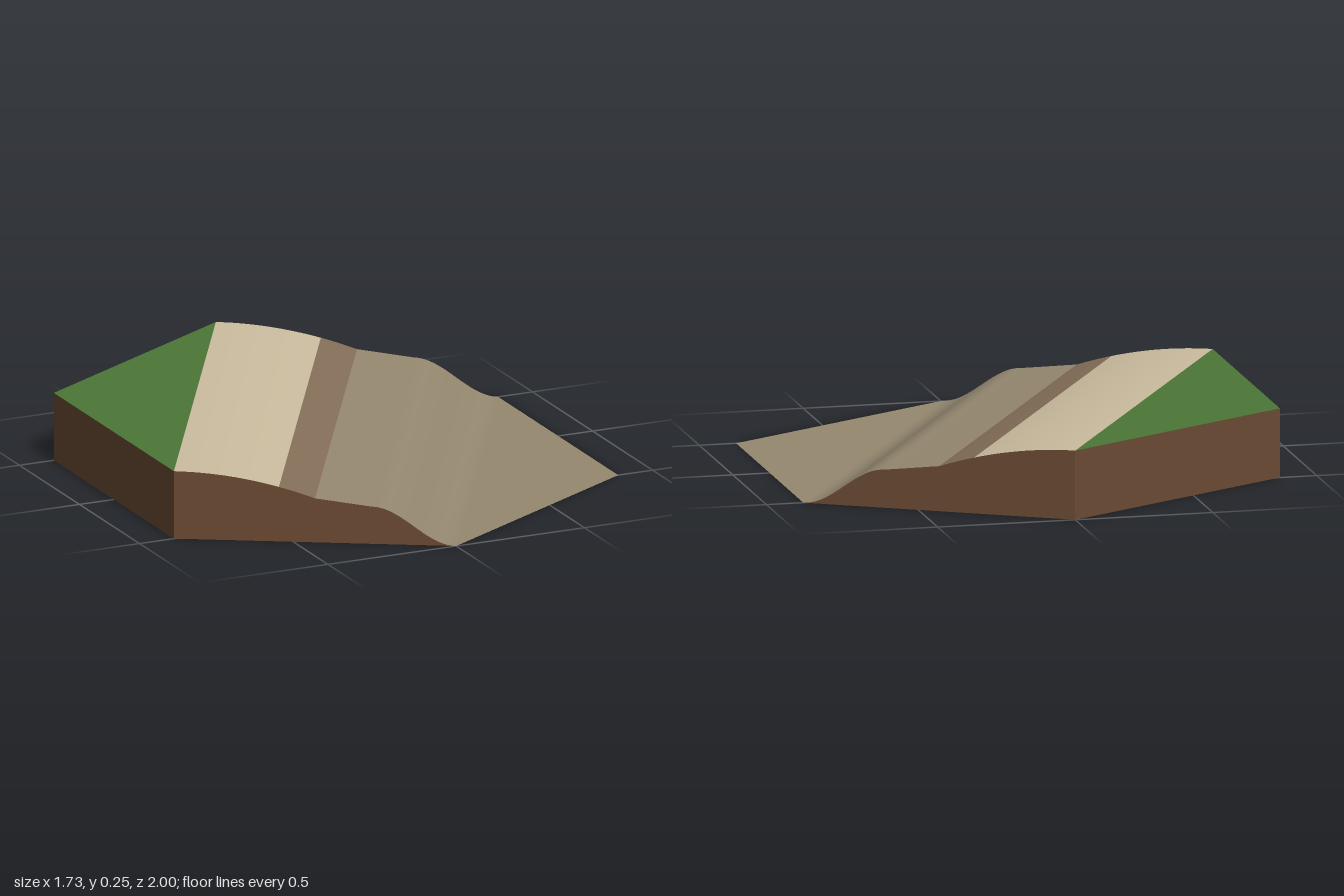
import * as THREE from 'three';

const TOP = 0.25;             // grass height
const HALF = Math.sqrt(3) / 2; // half width of the hexagon across its flats

// Height of the bank at distance s across the tile (-1 grass corner, 1 low corner)
function height(s) {
  if (s <= -0.5) return TOP;
  if (s <= 0) return TOP - 0.087 * ((s + 0.5) / 0.5) ** 2;
  if (s <= 0.2) return 0.163 - 0.125 * s;
  if (s < 0.5) return 0.069 * (1 + Math.cos(Math.PI * (s - 0.2) / 0.3));
  return 0;
}

// Half length of the hexagon along the bank at distance s
const halfLength = s => Math.min(HALF, (1 - Math.abs(s)) * 2 * HALF);

function material(color) {
  return new THREE.MeshStandardMaterial({ color, side: THREE.DoubleSide });
}

// Ground strip between two distances, following the bank profile
function strip(name, stops, color) {
  const pos = [], index = [];
  stops.forEach((s, i) => {
    const w = halfLength(s), y = height(s);
    pos.push(s, y, w, s, y, -w);
    if (i === 0) return;
    const a = 2 * i - 2, c = a + 1, b = a + 2, e = a + 3;
    if (halfLength(stops[i - 1]) > 1e-6) index.push(a, b, c);
    if (w > 1e-6) index.push(c, b, e);
  });
  const geo = new THREE.BufferGeometry();
  geo.setAttribute('position', new THREE.Float32BufferAttribute(pos, 3));
  geo.setIndex(index);
  geo.computeVertexNormals();
  const mesh = new THREE.Mesh(geo, material(color));
  mesh.name = name;
  return mesh;
}

// Evenly spaced distances from a to b
const range = (a, b, n) => Array.from({ length: n + 1 }, (_, i) => a + (b - a) * i / n);

export function createModel() {
  const model = new THREE.Group();
  model.name = 'riverbankTile';
  const tile = new THREE.Group();
  tile.name = 'tile';
  tile.rotation.y = -Math.PI / 6; // corner towards the front
  model.add(tile);

  // Ground, from the grass down to the river bed
  tile.add(
    strip('grass', [-1, -0.5], 0x4c7636),
    strip('sandSlope', range(-0.5, -0.128, 12), 0xcbbd9f),
    strip('wetSandBand', range(-0.128, 0, 5), 0x857059),
    strip('riverBed', [...range(0, 0.2, 4), ...range(0.2, 0.5, 20).slice(1), 1], 0x968970)
  );

  // Earth walls; the underside stays open
  const earth = material(0x6b4a34);
  const outline = new THREE.Shape();
  outline.moveTo(-0.5, 0);
  [...range(-0.5, -0.128, 12), ...range(-0.128, 0, 5).slice(1), ...range(0, 0.2, 4).slice(1),
    ...range(0.2, 0.5, 20).slice(1)].forEach(s => outline.lineTo(s, height(s)));
  const slopeGeo = new THREE.ShapeGeometry(outline);
  const flatGeo = new THREE.PlaneGeometry(1, TOP);

  for (const side of [1, -1]) {
    const slope = new THREE.Mesh(slopeGeo, earth);
    slope.name = side > 0 ? 'frontSlopeWall' : 'backSlopeWall';
    slope.position.z = side * HALF;
    slope.scale.z = side;

    const flat = new THREE.Mesh(flatGeo, earth);
    flat.name = side > 0 ? 'rightGrassWall' : 'backGrassWall';
    flat.position.set(-0.75, TOP / 2, side * HALF / 2);
    flat.rotation.y = side > 0 ? -Math.PI / 3 : -2 * Math.PI / 3;
    tile.add(slope, flat);
  }
  return model;
}
